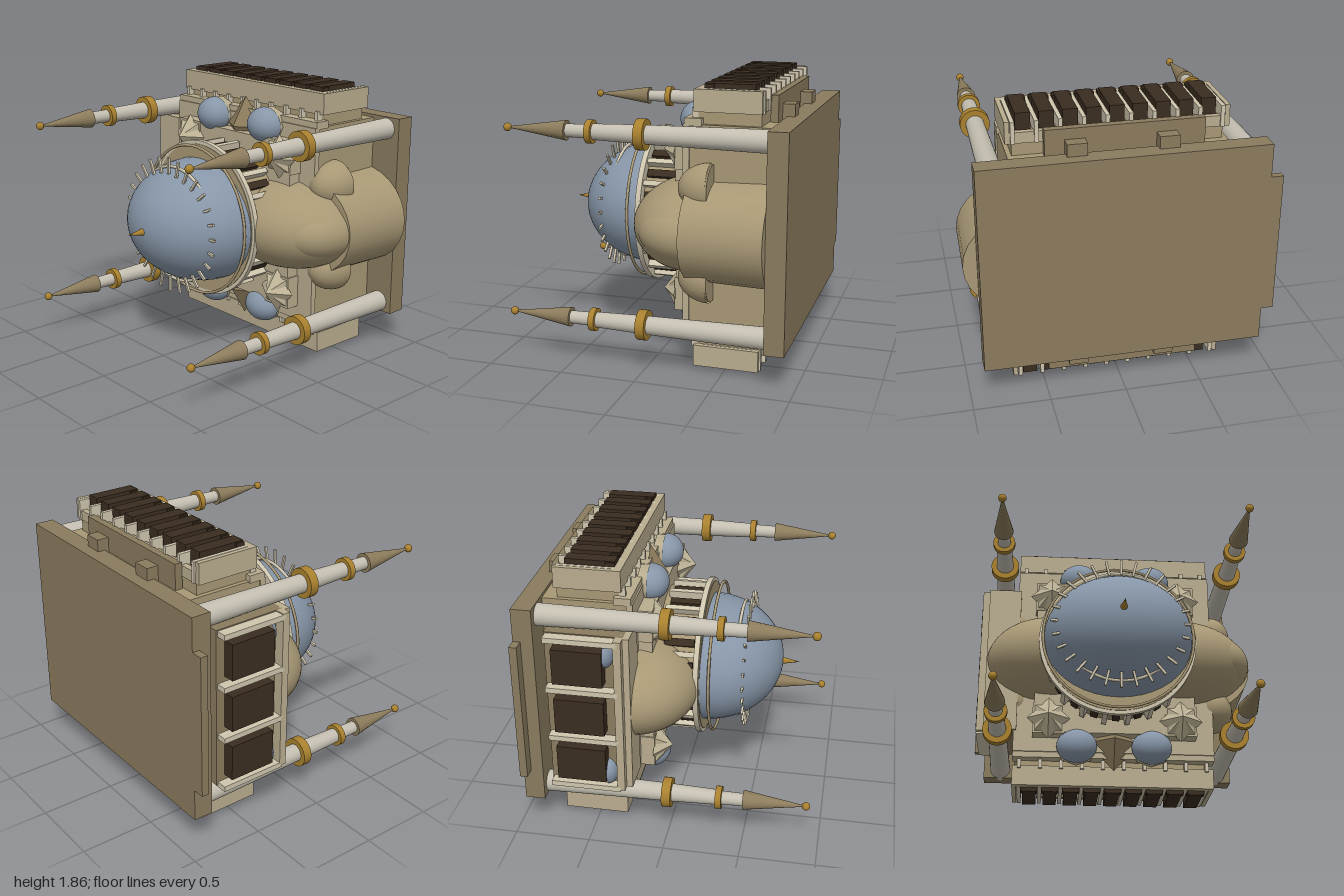
import * as THREE from 'three';

const CY = 0.93; // height of the building's main axis, which runs along z
const mat = (color, flat = false) =>
  new THREE.MeshStandardMaterial({ color, flatShading: flat, side: THREE.DoubleSide });
const M = {
  stone: mat(0xb9ad8f), pale: mat(0xcfc6ae), tan: mat(0xa89875), slab: mat(0x8a7b5e),
  dark: mat(0x3a2d20), blue: mat(0x8796a8), gold: mat(0xa9812f), shaft: mat(0xc3beb0),
  spike: mat(0xbfb497, true), brown: mat(0x8c7c5c, true),
};

export function createModel() {
  const root = new THREE.Group();
  const add = (name, geo, m, x = 0, y = 0, z = 0, parent = root) => {
    const mesh = new THREE.Mesh(geo, m);
    mesh.name = name;
    mesh.position.set(x, y, z);
    parent.add(mesh);
    return mesh;
  };
  // box from its limits
  const box = (name, m, x0, x1, y0, y1, z0, z1, parent = root) =>
    add(name, new THREE.BoxGeometry(x1 - x0, y1 - y0, z1 - z0), m,
      (x0 + x1) / 2, (y0 + y1) / 2, (z0 + z1) / 2, parent);
  // cylinder or cone along z; r1 at the front end
  const cyl = (name, m, r0, r1, x, y, z0, z1, parent = root, seg = 32, open = false) =>
    add(name, new THREE.CylinderGeometry(r1, r0, z1 - z0, seg, 1, open).rotateX(Math.PI / 2), m,
      x, y, (z0 + z1) / 2, parent);
  // half ellipsoid bulging towards +z
  const dome = (name, m, x, y, z, rx, ry, rz, parent = root) =>
    add(name, new THREE.SphereGeometry(1, 40, 20, 0, Math.PI * 2, 0, Math.PI / 2)
      .rotateX(Math.PI / 2).scale(rx, ry, rz), m, x, y, z, parent);

  // plinth and stepped main body
  box('plinth', M.slab, -0.92, 0.91, 0.24, 1.63, -0.94, -0.81);
  box('plinthStep', M.slab, -1, -0.91, 0.46, 1.41, -0.94, -0.89);
  box('mainBody', M.tan, -0.69, 0.69, 0.25, 1.61, -0.82, -0.25);
  box('bodyFront', M.stone, -0.7, 0.7, 0.25, 1.61, -0.27, -0.23);
  box('drumTerrace', M.stone, -0.56, 0.56, 0.36, 1.5, -0.25, -0.14);

  // upper and lower porches, mirrored about the main axis
  for (const s of [1, -1]) {
    const porch = new THREE.Group();
    porch.name = s > 0 ? 'upperPorch' : 'lowerPorch';
    porch.position.y = CY;
    root.add(porch);
    const pb = (name, m, x0, x1, y0, y1, z0, z1) =>
      box(name, m, x0, x1, Math.min(s * y0, s * y1), Math.max(s * y0, s * y1), z0, z1, porch);
    pb('porchCore', M.tan, -0.66, 0.66, 0.66, 0.82, -0.72, -0.32);
    pb('porchFront', M.stone, -0.7, 0.7, 0.76, 0.9, -0.35, -0.3);
    pb('porchLedge', M.stone, -0.7, 0.7, 0.67, 0.72, -0.35, -0.24);
    pb('porchBack', M.stone, -0.68, 0.68, 0.76, 0.83, -0.73, -0.69);
    for (const x of [-0.685, 0.685]) pb('porchCheek', M.stone, x - 0.015, x + 0.015, 0.76, 0.9, -0.73, -0.3);
    pb('rearStep', M.slab, -0.53, 0.47, 0.66, 0.85, -0.78, -0.73);
    for (const x of [-0.285, 0.285]) pb('rearBlock', M.slab, x - 0.063, x + 0.063, 0.66, 0.78, -0.86, -0.77);
    // dark niches with ribs between them
    for (let i = 0; i < 9; i++) {
      const x = (i - 4) * 0.145;
      pb('niche', M.dark, x - 0.047, x + 0.047, 0.8, 0.93, -0.67, -0.35);
      pb('nicheFoot', M.dark, x - 0.06, x + 0.06, 0.8, 0.925, -0.41, -0.35);
    }
    for (let i = 0; i < 10; i++) {
      const x = (i - 4.5) * 0.145;
      pb('rib', M.pale, x - 0.013, x + 0.013, 0.76, 0.9, -0.74, -0.33);
      pb('ledgeBracket', M.pale, x - 0.013, x + 0.013, 0.7, 0.78, -0.32, -0.28);
    }
    // gable between the small domes
    const gable = cyl('gable', M.brown, 0.19, 0.001, 0, s * 0.6, -0.26, -0.14, porch, 4);
    gable.scale.y = 1.05;
    for (const x of [-0.26, 0.26]) {
      cyl('kioskBase', M.stone, 0.14, 0.14, x, s * 0.645, -0.27, -0.2, porch, 8).scale.y = 0.85;
      dome('kioskDome', M.blue, x, s * 0.645, -0.21, 0.14, 0.12, 0.125, porch);
    }
    // corner spikes and small side domes
    for (const x of [-0.46, 0.46]) {
      box('spikeBase', M.stone, x - 0.11, x + 0.11, s * 0.47 - 0.11, s * 0.47 + 0.11, -0.24, -0.135, porch);
      cyl('cornerSpike', M.spike, 0.15, 0.001, x, s * 0.47, -0.14, -0.03, porch, 4);
      const turned = cyl('cornerSpike', M.spike, 0.14, 0.001, x, s * 0.47, -0.14, -0.04, porch, 4);
      turned.rotation.z = Math.PI / 4;
    }
    for (const x of [-0.7, 0.72]) {
      cyl('sideDomeBase', M.tan, 0.15, 0.15, x, s * 0.29, -0.43, -0.42, porch);
      dome('sideDome', M.tan, x, s * 0.29, -0.42, 0.15, 0.16, 0.21, porch);
    }
  }

  // large side domes
  dome('rightLobe', M.tan, -0.45, CY, -0.28, 0.46, 0.31, 0.43);
  dome('leftLobe', M.tan, 0.45, CY, -0.28, 0.51, 0.31, 0.43);
  dome('leftLobeTip', M.tan, 0.72, CY, -0.28, 0.255, 0.2, 0.33);
  cyl('leftLobeBody', M.tan, 0.4, 0.385, 0.6, CY, -0.81, -0.28, root, 28).scale.y = 0.86;

  // side porch on the model's right
  const side = new THREE.Group();
  side.name = 'sidePorch';
  root.add(side);
  box('sideCore', M.slab, -0.89, -0.68, 0.4, 1.48, -0.75, -0.25, side);
  box('sideFront', M.stone, -0.91, -0.68, 0.4, 1.48, -0.26, -0.21, side);
  box('sideLedge', M.stone, -0.96, -0.86, 0.4, 1.48, -0.3, -0.25, side);
  for (let i = 0; i < 3; i++) {
    const y = CY + (i - 1) * 0.35;
    box('sideNiche', M.dark, -0.97, -0.87, y - 0.12, y + 0.12, -0.69, -0.37, side);
  }
  for (let i = 0; i < 4; i++) {
    const y = CY + (i - 1.5) * 0.35;
    box('sideRib', M.pale, -0.96, -0.87, y - 0.018, y + 0.018, -0.74, -0.28, side);
  }
  for (const s of [1, -1]) dome('sideKioskDome', M.blue, -0.86, CY + s * 0.43, -0.37, 0.1, 0.1, 0.06, side);

  // drum with alternating niches and columns
  cyl('drum', M.tan, 0.47, 0.47, 0, CY, -0.2, 0.13, root, 48);
  const N = 20;
  for (let i = 0; i < N * 2; i++) {
    const a = (i / (N * 2)) * Math.PI * 2;
    const niche = i % 2 === 0;
    const geo = niche ? new THREE.BoxGeometry(0.05, 0.05, 0.2) : new THREE.BoxGeometry(0.05, 0.035, 0.24);
    const r = niche ? 0.472 : 0.495;
    const part = add(niche ? 'drumNiche' : 'drumColumn', geo, niche ? M.dark : M.pale,
      r * Math.cos(a), CY + r * Math.sin(a), 0.005);
    part.rotation.z = a;
  }
  cyl('drumRim', M.pale, 0.54, 0.54, 0, CY, 0.115, 0.15, root, 64);
  cyl('rimFace', M.tan, 0.515, 0.515, 0, CY, 0.14, 0.155, root, 64);
  add('domeBand', new THREE.TorusGeometry(0.515, 0.01, 8, 64), M.tan, 0, CY, 0.215);

  // main dome, its collar of pegs and the finial
  dome('mainDome', M.blue, 0, CY, 0.15, 0.51, 0.42, 0.51);
  add('domeHoop', new THREE.TorusGeometry(0.395, 0.011, 8, 64), M.pale, 0, CY, 0.375);
  for (let i = 0; i < 28; i++) {
    const a = (i / 28) * Math.PI * 2;
    const peg = add('domePeg', new THREE.BoxGeometry(0.11, 0.016, 0.016), M.pale,
      0.412 * Math.cos(a), CY + 0.412 * Math.sin(a), 0.43);
    peg.rotation.z = a;
  }
  cyl('finial', M.gold, 0.027, 0.001, 0, CY, 0.64, 0.77, root, 16);

  // four corner towers
  for (const x of [-0.8, 0.8]) for (const s of [1, -1]) {
    const t = new THREE.Group();
    t.name = 'tower';
    t.position.set(x, CY + 0.62 * s, 0);
    root.add(t);
    cyl('towerShaft', M.shaft, 0.073, 0.06, 0, 0, -0.86, 0, t);
    cyl('towerMiddle', M.shaft, 0.06, 0.05, 0, 0, 0, 0.34, t);
    cyl('towerNeck', M.shaft, 0.045, 0.042, 0, 0, 0.34, 0.5, t);
    cyl('towerBalcony', M.gold, 0.098, 0.098, 0, 0, -0.03, 0.03, t);
    cyl('towerRing', M.gold, 0.075, 0.075, 0, 0, 0.32, 0.36, t);
    cyl('towerSpire', M.brown, 0.065, 0.006, 0, 0, 0.5, 0.89, t, 24);
    add('towerBall', new THREE.SphereGeometry(0.027, 20, 14), M.gold, 0, 0, 0.91, t);
  }
  return root;
}
